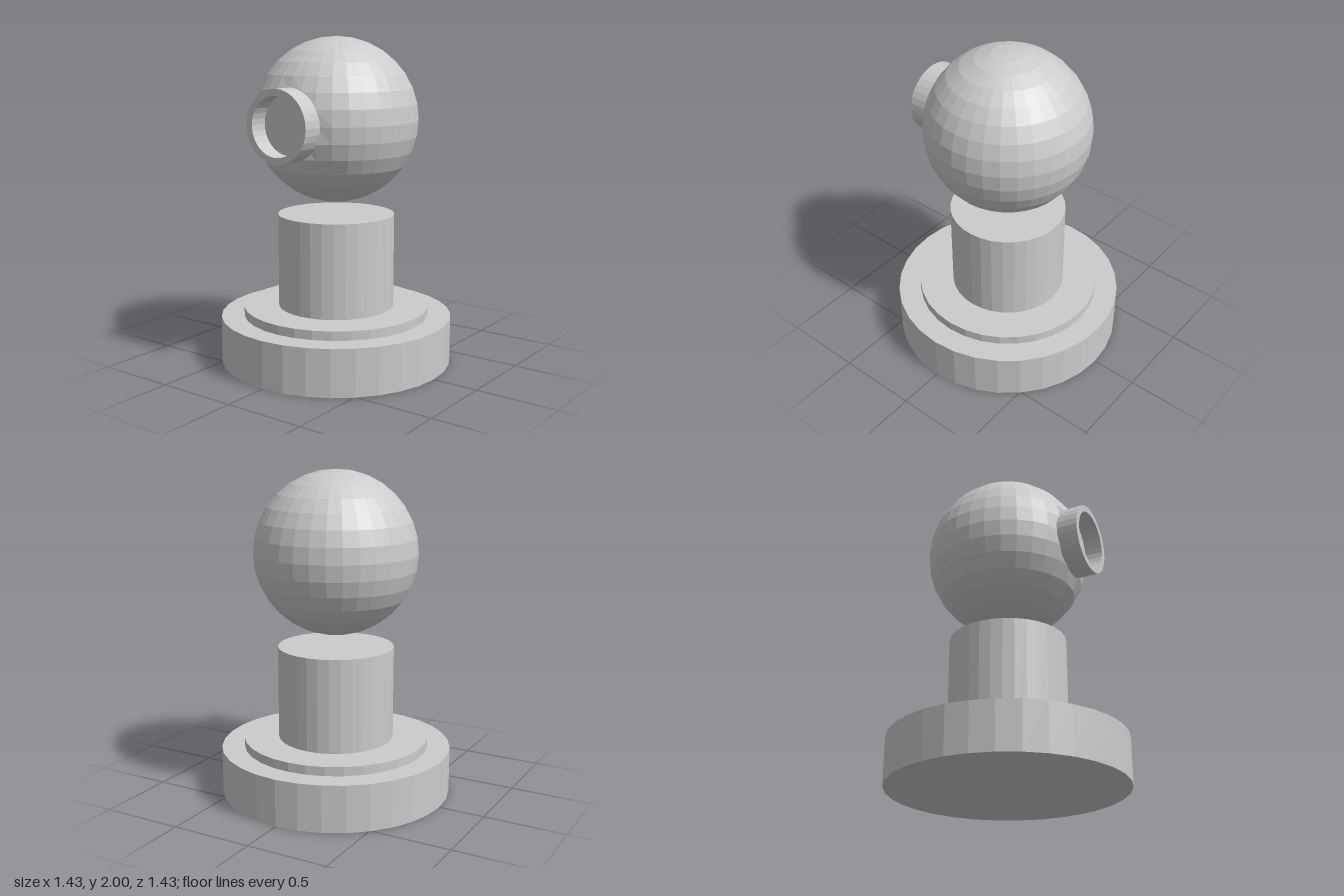
import * as THREE from 'three';

const SIDES = 32;

export function createModel() {
  const model = new THREE.Group();
  const material = new THREE.MeshStandardMaterial({ color: 0xcccccc, flatShading: true });

  const add = (name, geometry, y) => {
    const mesh = new THREE.Mesh(geometry, material);
    mesh.name = name;
    mesh.position.y = y;
    model.add(mesh);
  };
  const addDisc = (name, radius, bottom, top) =>
    add(name, new THREE.CylinderGeometry(radius, radius, top - bottom, SIDES), (bottom + top) / 2);

  // Stepped pedestal
  addDisc('base', 0.715, 0, 0.288);
  addDisc('baseStep', 0.573, 0.288, 0.344);
  addDisc('column', 0.358, 0.344, 0.922);

  // Floating ball, flattened at the front behind the eye socket
  const ball = new THREE.SphereGeometry(0.5, SIDES, SIDES / 2);
  const pos = ball.attributes.position;
  for (let i = 0; i < pos.count; i++) pos.setZ(i, Math.min(pos.getZ(i), 0.455));
  ball.computeVertexNormals();
  add('ball', ball, 1.5);

  // Short open ring with a flat recessed floor, facing forward
  const profile = [[0.215, 0.42], [0.215, 0.573], [0.175, 0.573], [0.175, 0.46], [0, 0.46]];
  const eye = new THREE.LatheGeometry(profile.map(([r, h]) => new THREE.Vector2(r, h)), SIDES);
  eye.rotateX(Math.PI / 2);
  add('eyeRing', eye, 1.5);

  return model;
}
